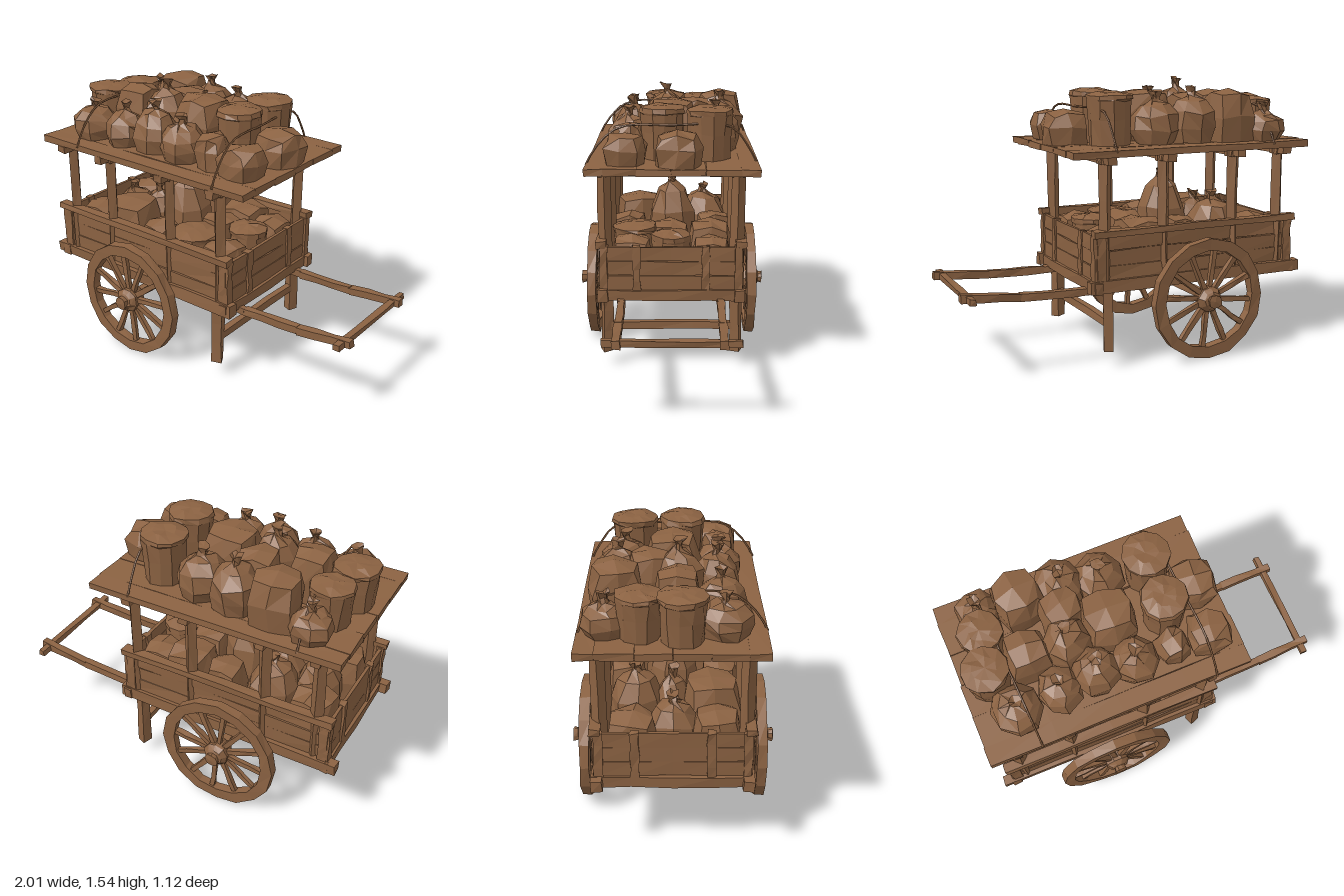
import * as THREE from 'three';

const brown = new THREE.MeshStandardMaterial({ color: 0x8b6242, flatShading: true });
brown.name = 'worn brown';

// Position-based wobble keeps coincident vertices together
function wobble(geo, amount, seed) {
  const p = geo.attributes.position;
  const hash = (x, y, z, k) => {
    const s = Math.sin(x * 127.1 + y * 311.7 + z * 74.7 + (seed + k) * 53.3) * 43758.5453;
    return (s - Math.floor(s) - 0.5) * 2 * amount;
  };
  for (let i = 0; i < p.count; i++) {
    const [x, y, z] = [p.getX(i), p.getY(i), p.getZ(i)];
    const q = [x, y, z].map(v => Math.round(v * 1000) / 1000);
    p.setXYZ(i, x + hash(...q, 1), y + hash(...q, 2), z + hash(...q, 3));
  }
  geo.computeVertexNormals();
  return geo;
}

let seed = 1;

function add(parent, name, geo, x = 0, y = 0, z = 0) {
  const m = new THREE.Mesh(geo, brown);
  m.name = name;
  m.position.set(x, y, z);
  parent.add(m);
  return m;
}

// Axis-aligned timber, given by its limits
function timber(parent, name, x0, x1, y0, y1, z0, z1, rough = 0.005) {
  const s = [x1 - x0, y1 - y0, z1 - z0];
  const seg = s.map(v => (v === Math.max(...s) ? 4 : 1));
  const geo = wobble(new THREE.BoxGeometry(...s, ...seg), rough, seed++);
  return add(parent, name, geo, (x0 + x1) / 2, (y0 + y1) / 2, (z0 + z1) / 2);
}

// Timber between two points
function beam(parent, name, a, b, w) {
  const A = new THREE.Vector3(...a), B = new THREE.Vector3(...b);
  const geo = wobble(new THREE.BoxGeometry(w, w, A.distanceTo(B), 1, 1, 3), 0.004, seed++);
  const m = add(parent, name, geo);
  m.position.copy(A).add(B).multiplyScalar(0.5);
  m.lookAt(B);
  return m;
}

function lathe(points, sides) {
  return new THREE.LatheGeometry(points.map(p => new THREE.Vector2(...p)), sides);
}

// Full, tied sack with a pinched neck
function sack(parent, x, y, z, r, h) {
  const k = h - 0.05;
  const geo = lathe([[0, 0], [r * 0.9, 0], [r * 1.06, k * 0.35], [r * 0.98, k * 0.66], [r * 0.62, k * 0.9],
    [0.022, k], [0.018, k + 0.02], [0.034, h], [0, h - 0.008]], 8);
  const m = add(parent, 'sack', wobble(geo, 0.011, seed++), x, y, z);
  m.rotation.y = seed;
}

// Round covered basket, wider at the top
function basket(parent, x, y, z, r, h) {
  const geo = lathe([[0, 0], [r * 0.88, 0], [r * 0.95, h * 0.5], [r * 0.98, h * 0.84], [r * 1.03, h * 0.86],
    [r * 1.02, h * 0.94], [r * 0.5, h * 0.99], [0, h]], 11);
  add(parent, 'basket', wobble(geo, 0.006, seed++), x, y, z);
}

// Wrapped bundle: a box with softened corners and a domed, gathered top
function bundle(parent, x, y, z, r, h) {
  const geo = new THREE.BoxGeometry(2, h, 2, 2, 2, 2);
  const p = geo.attributes.position;
  for (let i = 0; i < p.count; i++) {
    const [u, v, w] = [p.getX(i), p.getY(i), p.getZ(i)];
    const reach = Math.abs(u) + Math.abs(w);
    const level = v > 0.01 ? 0.84 : v < -0.01 ? 0.96 : 1.04;
    const f = r * level * (reach > 1.5 ? 0.86 : 1.02);
    p.setXYZ(i, u * f, v > 0.01 ? v - reach * 0.018 : v, w * f);
  }
  const m = add(parent, 'bundle', wobble(geo, 0.011, seed++), x, y + h / 2, z);
  m.rotation.y = Math.sin(seed * 3) * 0.18;
}

function wheel(side) {
  const g = new THREE.Group();
  g.name = side > 0 ? 'leftWheel' : 'rightWheel';
  const rim = lathe([[0.275, -0.026], [0.339, -0.026], [0.339, 0.026], [0.275, 0.026], [0.275, -0.026]], 16);
  add(g, 'rim', wobble(rim, 0.004, seed++)).rotation.x = Math.PI / 2;
  for (let i = 0; i < 12; i++) {
    const a = (i / 12) * Math.PI * 2 + 0.12, c = Math.cos(a), s = Math.sin(a);
    beam(g, 'spoke', [c * 0.05, s * 0.05, 0], [c * 0.285, s * 0.285, 0], 0.027);
  }
  const hub = lathe([[0, -0.06], [0.05, -0.06], [0.072, -0.02], [0.072, 0.03], [0.05, 0.055],
    [0.035, 0.06], [0.04, 0.085], [0, 0.09]], 9);
  add(g, 'hub', wobble(hub, 0.004, seed++)).rotation.x = side * Math.PI / 2;
  g.position.set(-0.345, 0.345, side * 0.47);
  return g;
}

export function createModel() {
  const cart = new THREE.Group();
  cart.name = 'loadedHandcart';

  // Running gear
  cart.add(wheel(1), wheel(-1));
  beam(cart, 'axle', [-0.345, 0.355, -0.47], [-0.345, 0.355, 0.47], 0.045);

  // Floor planks
  for (let i = 0; i < 7; i++) {
    const z = -0.37 + i * 0.106;
    timber(cart, 'floorPlank', -0.95, 0.29, 0.44, 0.48, z, z + 0.104);
  }

  // Sides, rails, roof posts, legs and shafts, mirrored
  for (const s of [1, -1]) {
    const span = (a, b) => (s > 0 ? [a, b] : [-b, -a]);
    timber(cart, 'bottomRail', -1.0, 0.33, 0.425, 0.49, ...span(0.35, 0.405));
    timber(cart, 'topRail', -0.96, 0.31, 0.727, 0.765, ...span(0.355, 0.41));
    for (let i = 0; i < 3; i++) {
      timber(cart, 'sideBoard', -0.93, 0.285, 0.487 + i * 0.082, 0.566 + i * 0.082, ...span(0.36, 0.382));
    }
    for (const x of [-0.915, 0.265]) timber(cart, 'cornerBatten', x - 0.025, x + 0.025, 0.47, 0.74, ...span(0.365, 0.395));
    for (const x of [-0.86, -0.56, -0.12, 0.23]) {
      beam(cart, 'roofPost', [x, 0.46, s * 0.36], [x + 0.005, 1.15, s * 0.365], 0.052);
      timber(cart, 'postCap', x - 0.035, x + 0.035, 1.115, 1.155, ...span(0.33, 0.4));
    }
    beam(cart, 'leg', [0.21, 0.095, s * 0.362], [0.215, 0.46, s * 0.36], 0.055);
    const path = [[0, 0.425, 0.275], [0.34, 0.415, 0.275], [0.68, 0.425, 0.268], [1.0, 0.455, 0.262]];
    for (let i = 0; i < 3; i++) {
      const [a, b] = [path[i], path[i + 1]].map(p => [p[0], p[1], s * p[2]]);
      beam(cart, 'shaft', a, b, 0.042);
    }
  }
  beam(cart, 'handle', [0.955, 0.448, -0.35], [0.955, 0.448, 0.335], 0.035);
  beam(cart, 'legBrace', [0.21, 0.25, -0.36], [0.21, 0.25, 0.36], 0.04);

  // End panels
  for (const x of [-0.93, 0.285]) {
    timber(cart, 'endSill', x - 0.025, x + 0.025, 0.425, 0.485, -0.41, 0.41);
    for (let i = 0; i < 3; i++) {
      timber(cart, 'endBoard', x - 0.01, x + 0.01, 0.487 + i * 0.082, 0.566 + i * 0.082, -0.37, 0.37, 0.003);
    }
    for (const z of [-0.37, -0.19, 0.19, 0.37]) timber(cart, 'endBatten', x - 0.02, x + 0.02, 0.47, 0.735, z - 0.022, z + 0.022);
  }

  // Roof planks and cross beams
  const edges = [-0.468, -0.365, -0.18, 0.0, 0.18, 0.352, 0.455];
  for (let i = 0; i < 6; i++) {
    timber(cart, 'roofPlank', -0.995, 0.45, 1.158, 1.195, edges[i], edges[i + 1] - 0.001, 0.004);
  }
  for (const x of [-0.86, -0.56, -0.12, 0.23]) timber(cart, 'roofCrossBeam', x - 0.025, x + 0.025, 1.118, 1.16, -0.455, 0.455);

  // Load on the roof: maker, x, z, radius, height
  const roofLoad = [
    [sack, -0.77, -0.33, 0.11, 0.22], [bundle, -0.56, -0.28, 0.125, 0.29], [sack, -0.33, -0.28, 0.13, 0.31],
    [sack, -0.12, -0.25, 0.13, 0.29], [basket, 0.13, -0.21, 0.125, 0.29], [basket, -0.8, -0.16, 0.115, 0.24],
    [basket, -0.845, 0.045, 0.12, 0.25], [bundle, -0.62, 0.02, 0.11, 0.28], [sack, -0.41, 0.03, 0.125, 0.345],
    [bundle, -0.17, 0, 0.135, 0.29], [basket, 0.12, 0.05, 0.122, 0.3], [bundle, 0.325, -0.04, 0.115, 0.19],
    [sack, -0.77, 0.25, 0.13, 0.22], [sack, -0.53, 0.24, 0.115, 0.24], [sack, -0.325, 0.22, 0.12, 0.29],
    [sack, -0.12, 0.24, 0.12, 0.25], [bundle, 0.085, 0.24, 0.078, 0.2], [bundle, 0.29, 0.245, 0.105, 0.18],
    [bundle, -0.38, -0.12, 0.11, 0.28],
  ];
  for (const [make, x, z, r, h] of roofLoad) make(cart, x, 1.19, z, r, h);

  // Load in the bed
  const bedLoad = [
    [sack, -0.3, 0, 0.14, 0.54], [bundle, -0.55, 0.2, 0.14, 0.36], [sack, -0.53, -0.19, 0.145, 0.43],
    [bundle, -0.77, 0.22, 0.12, 0.29], [bundle, -0.78, -0.21, 0.12, 0.28], [sack, -0.72, 0, 0.125, 0.36],
    [bundle, -0.28, 0.25, 0.1, 0.31], [bundle, -0.27, -0.25, 0.1, 0.32], [basket, -0.07, 0.21, 0.13, 0.3],
    [bundle, -0.04, -0.22, 0.13, 0.32], [bundle, -0.05, 0, 0.11, 0.32], [bundle, 0.15, 0.22, 0.11, 0.29],
    [bundle, 0.15, -0.22, 0.11, 0.28], [basket, 0.15, 0, 0.11, 0.31], [sack, -0.52, 0.0, 0.1, 0.4],
  ];
  for (const [make, x, z, r, h] of bedLoad) make(cart, x, 0.475, z, r, h);

  // Lashing ropes tucked into the roof load
  for (const x of [-0.74, 0.23]) {
    const pts = [[-0.465, 1.18], [-0.41, 1.28], [-0.32, 1.38], [0, 1.39], [0.28, 1.38], [0.4, 1.28], [0.46, 1.18]];
    const curve = new THREE.CatmullRomCurve3(pts.map(([z, y]) => new THREE.Vector3(x + z * 0.05, y, z)));
    add(cart, 'rope', new THREE.TubeGeometry(curve, 18, 0.006, 5));
  }
  return cart;
}
